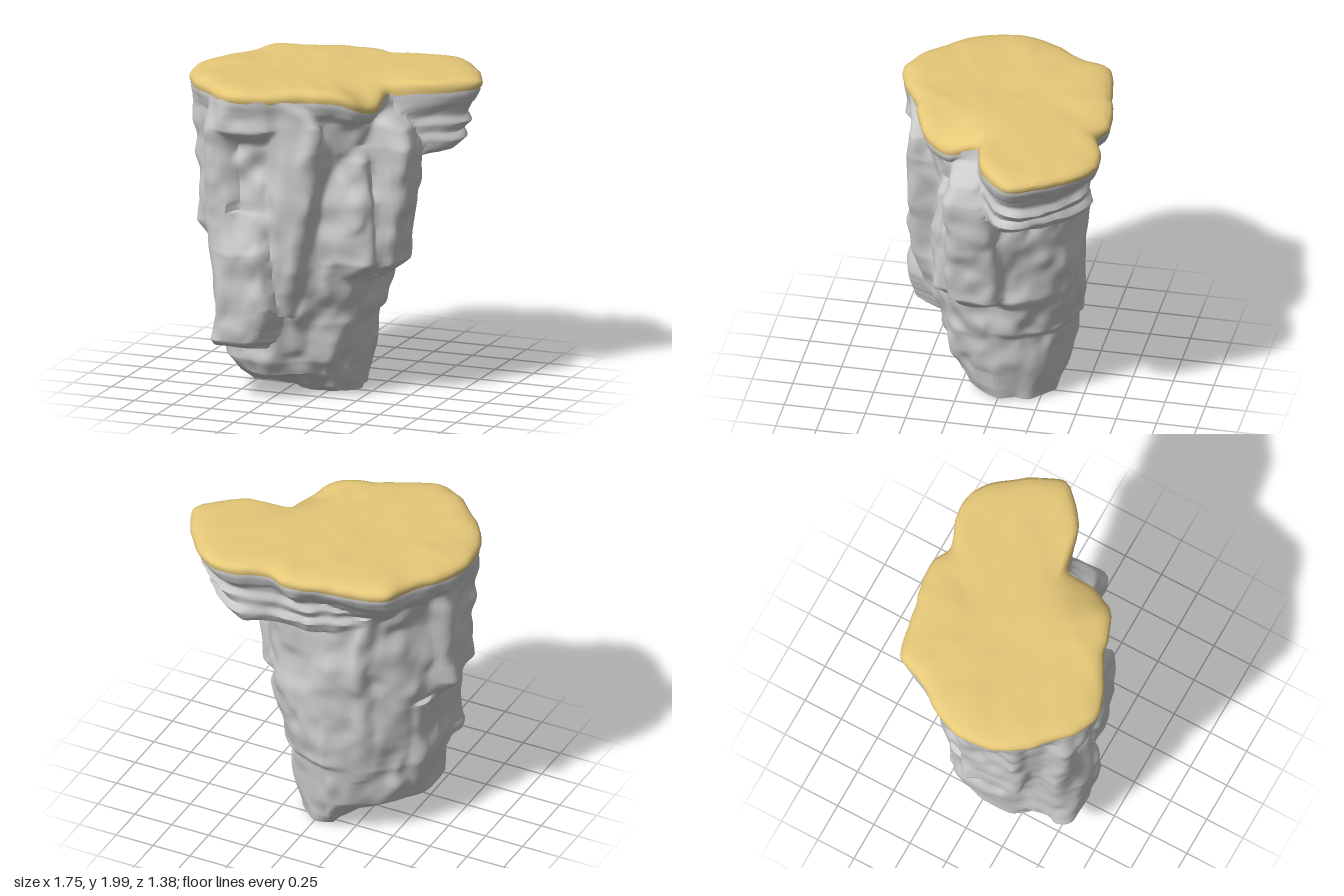
import * as THREE from 'three';
import { toCreasedNormals } from 'three/addons/utils/BufferGeometryUtils.js';

const CX = -0.12, CZ = 0.05, COLS = 180, TURN = Math.PI * 2;
const rockMat = new THREE.MeshStandardMaterial({ color: 0xcccccc, side: THREE.DoubleSide });
const topMat = new THREE.MeshStandardMaterial({ color: 0xe6c878, side: THREE.DoubleSide });
const { lerp, smoothstep, clamp } = THREE.MathUtils;

// smooth value noise in -1..1
function hash(x, y, z) {
  const s = Math.sin(x * 127.1 + y * 311.7 + z * 74.7) * 43758.5453;
  return (s - Math.floor(s)) * 2 - 1;
}
function noise(x, y, z) {
  const i = [x, y, z].map(Math.floor);
  const f = [x - i[0], y - i[1], z - i[2]].map(t => t * t * (3 - 2 * t));
  let sum = 0;
  for (let c = 0; c < 8; c++) {
    const d = [c & 1, (c >> 1) & 1, c >> 2];
    const w = d.reduce((p, on, k) => p * (on ? f[k] : 1 - f[k]), 1);
    sum += w * hash(i[0] + d[0], i[1] + d[1], i[2] + d[2]);
  }
  return sum;
}

// small knobs standing out of the rock: x, y, z, height
const knobs = [[0.25, 1.13, 0.36, 0.05], [-0.07, 0.53, 0.42, 0.05], [0.3, 1.1, -0.33, 0.03],
  [-0.38, 1.52, 0.52, 0.05], [-0.6, 1.05, -0.2, 0.04], [-0.5, 0.35, -0.2, 0.04]];

// craggy offset, a sagging front corner on top, and an uneven foot
function weather(p) {
  const amp = lerp(0.027, 0.014, smoothstep(p.y, 1.75, 1.9));
  const n = (s, o) => noise(p.x * s + o, p.y * s * 0.8 + o, p.z * s - o);
  const d = o => amp * (n(5, o) + 0.6 * n(11, o + 9));
  const q = new THREE.Vector3(p.x + d(3), p.y + 0.5 * d(17), p.z + d(31));
  for (const [x, y, z, h] of knobs) {
    const k = h * Math.exp(-((p.x - x) ** 2 + (p.y - y) ** 2 + (p.z - z) ** 2) / 0.004);
    q.x += k * (p.x - CX) * 1.5;
    q.z += k * (p.z - CZ) * 1.5;
  }
  const sag = Math.exp(-((p.x - 0.4) ** 2 + (p.z - 0.28) ** 2) / 0.035);
  q.y -= 0.09 * sag * smoothstep(p.y, 1.65, 1.9);
  const lift = Math.max(smoothstep(-p.x, 0.05, 0.3) * 0.05, smoothstep(p.z, 0.12, 0.3) * 0.09);
  q.y += lift * clamp(1 - p.y / 0.3, 0, 1);
  return q;
}

// radius of a closed outline as a function of angle
function polar(outline) {
  const curve = new THREE.CatmullRomCurve3(
    outline.map(([x, z]) => new THREE.Vector3(x - CX, 0, z - CZ)), true, 'centripetal');
  const s = curve.getPoints(400).slice(1).map(p =>
    [(Math.atan2(p.z, p.x) + TURN) % TURN, Math.hypot(p.x, p.z)]).sort((a, b) => a[0] - b[0]);
  s.push([s[0][0] + TURN, s[0][1]]);
  return t => {
    const a = t < s[0][0] ? t + TURN : t;
    const k = Math.max(1, s.findIndex(e => e[0] >= a));
    const [a0, r0] = s[k - 1], [a1, r1] = s[k];
    return lerp(r0, r1, (a - a0) / (a1 - a0 || 1));
  };
}

// values of a level table [y, ...values] at height y, or null outside it
function at(levels, y) {
  if (y < levels[0][0] || y > levels[levels.length - 1][0]) return null;
  const k = Math.max(1, levels.findIndex(l => l[0] >= y));
  const a = levels[k - 1], b = levels[k], f = (y - a[0]) / (b[0] - a[0]);
  return a.slice(1).map((v, i) => lerp(v, b[i + 1], f));
}

const topRadius = polar([[0.87, -0.2], [0.82, -0.12], [0.7, -0.02], [0.53, 0.04], [0.4, 0.09],
  [0.39, 0.26], [0.33, 0.38], [0.2, 0.47], [0.05, 0.53], [-0.12, 0.61], [-0.35, 0.69],
  [-0.5, 0.64], [-0.62, 0.53], [-0.78, 0.37], [-0.86, 0.2], [-0.87, 0.02], [-0.81, -0.16],
  [-0.68, -0.35], [-0.6, -0.53], [-0.38, -0.6], [-0.1, -0.65], [0.03, -0.67], [0.17, -0.61],
  [0.35, -0.68], [0.48, -0.69], [0.61, -0.63], [0.73, -0.5], [0.81, -0.36]]);
const ledgeRadius = polar([[0.85, -0.18], [0.6, 0.01], [0.3, 0.1], [-0.3, 0.12], [-0.55, -0.1],
  [-0.5, -0.38], [-0.1, -0.62], [0.17, -0.6], [0.45, -0.68], [0.72, -0.5]]);
const shoulderLevels = [[1.6, 0.7], [1.72, 0.83], [1.82, 0.95], [1.88, 0.985], [1.95, 0.985]];
const ledgeLevels = [[1.49, 0.72], [1.53, 0.84], [1.6, 0.91], [1.64, 0.88], [1.69, 0.93],
  [1.74, 0.9], [1.8, 0.94], [1.84, 0.93], [1.95, 0.98]];

// core: y, then twelve radii from +x round through the front
const coreLevels = [
  [0.01, 0.26, 0.24, 0.16, 0.14, 0.24, 0.32, 0.28, 0.2, 0.24, 0.36, 0.4, 0.3],
  [0.08, 0.28, 0.28, 0.26, 0.28, 0.38, 0.44, 0.38, 0.3, 0.32, 0.41, 0.41, 0.32],
  [0.2, 0.29, 0.3, 0.31, 0.32, 0.42, 0.52, 0.5, 0.43, 0.41, 0.45, 0.43, 0.35],
  [0.48, 0.39, 0.38, 0.36, 0.36, 0.45, 0.52, 0.51, 0.49, 0.48, 0.49, 0.47, 0.42],
  [0.52, 0.4, 0.38, 0.36, 0.37, 0.45, 0.52, 0.51, 0.49, 0.48, 0.52, 0.51, 0.46],
  [0.74, 0.43, 0.41, 0.38, 0.42, 0.5, 0.55, 0.53, 0.5, 0.49, 0.53, 0.53, 0.49],
  [0.82, 0.53, 0.46, 0.38, 0.43, 0.54, 0.57, 0.54, 0.5, 0.49, 0.53, 0.54, 0.52],
  [1.5, 0.58, 0.47, 0.4, 0.45, 0.57, 0.64, 0.6, 0.53, 0.51, 0.53, 0.57, 0.57],
  [1.95, 0.52, 0.53, 0.5, 0.52, 0.6, 0.68, 0.66, 0.6, 0.56, 0.55, 0.6, 0.6]];

// upright slabs welded onto the core: [y, x0, x1, z0, z1] at each level
const slabs = {
  frontLeft: [[0.42, -0.58, -0.4, 0.2, 0.54], [0.6, -0.59, -0.38, 0.2, 0.58], [1.2, -0.6, -0.41, 0.2, 0.61],
    [1.7, -0.6, -0.41, 0.2, 0.62], [1.95, -0.56, -0.35, 0.2, 0.61]],
  frontRight: [[0.54, -0.25, -0.1, 0.2, 0.5], [0.7, -0.24, -0.05, 0.2, 0.55], [0.85, -0.22, 0.01, 0.2, 0.57],
    [1.3, -0.21, 0.07, 0.2, 0.59], [1.6, -0.22, 0.12, 0.2, 0.59], [1.75, -0.25, 0.1, 0.2, 0.6],
    [1.85, -0.3, 0.02, 0.2, 0.6], [1.95, -0.4, -0.1, 0.2, 0.6]],
  frontRecess: [[0.8, -0.5, -0.15, 0.1, 0.54], [1.95, -0.5, -0.15, 0.1, 0.54]],
  frontBrow: [[1.62, -0.48, -0.19, 0.2, 0.55], [1.72, -0.52, -0.15, 0.2, 0.65], [1.95, -0.5, -0.18, 0.2, 0.66]],
  frontApron: [[0.33, -0.56, -0.27, 0.2, 0.56], [0.38, -0.57, -0.24, 0.2, 0.62], [0.6, -0.56, -0.16, 0.2, 0.64],
    [0.95, -0.54, -0.2, 0.2, 0.64], [1.2, -0.5, -0.22, 0.2, 0.55]],
  left: [[0.77, 0.1, 0.4, -0.05, 0.2], [0.86, 0.1, 0.51, -0.07, 0.25], [1.2, 0.1, 0.55, -0.07, 0.27],
    [1.6, 0.1, 0.58, -0.05, 0.26], [1.71, 0.1, 0.55, -0.03, 0.23], [1.86, 0.1, 0.38, -0.02, 0.2]],
  leftFront: [[0.78, 0, 0.3, 0, 0.31], [0.88, 0, 0.39, 0, 0.37], [1.3, 0, 0.37, 0, 0.37],
    [1.52, 0, 0.36, 0, 0.36], [1.6, 0, 0.33, 0, 0.32]],
  right: [[0.88, -0.64, -0.3, 0, 0.33], [1.06, -0.78, -0.3, -0.04, 0.36], [1.18, -0.75, -0.3, -0.06, 0.37],
    [1.7, -0.77, -0.3, -0.1, 0.38], [1.95, -0.8, -0.3, -0.1, 0.38]],
  rightLower: [[0.22, -0.59, -0.3, -0.1, 0.26], [0.5, -0.63, -0.3, -0.15, 0.31], [0.95, -0.66, -0.3, -0.16, 0.33]],
  backRight: [[0.4, -0.36, -0.1, -0.37, 0], [0.9, -0.41, -0.1, -0.43, 0], [1.65, -0.43, -0.1, -0.45, 0]],
};

// outermost radius of all parts at height y, for every angle
function sliceRadii(y) {
  const core = at(coreLevels, y);
  const boxes = Object.values(slabs).map(l => at(l, y)).filter(Boolean);
  const [shoulder] = at(shoulderLevels, y) || [0], [ledge] = at(ledgeLevels, y) || [0];
  return Array.from({ length: COLS }, (_, i) => {
    const t = i / COLS * TURN, c = Math.cos(t), s = Math.sin(t);
    const u = i / COLS * 12, k = Math.floor(u);
    const own = Math.max(lerp(core[k], core[(k + 1) % 12], smoothstep(u - k, 0, 1)),
      shoulder * topRadius(t), ledge * ledgeRadius(t));
    const dist = r => boxes.reduce((d, [x0, x1, z0, z1]) => {
      const x = CX + r * c, z = CZ + r * s, w = (x1 - x0) / 2, l = (z1 - z0) / 2;
      const round = Math.min(0.08, w, l);
      const dx = Math.abs(x - (x0 + x1) / 2) - w + round;
      const dz = Math.abs(z - (z0 + z1) / 2) - l + round;
      const e = Math.hypot(Math.max(dx, 0), Math.max(dz, 0)) + Math.min(Math.max(dx, dz), 0) - round;
      const h = Math.max(0.03 - Math.abs(d - e), 0) / 0.03;
      return Math.min(d, e) - h * h * 0.0075;
    }, r - own);
    const step = 0.008;
    let r = 1.05, d = dist(r), last = d;
    while (r > 0.05 && d > 0) {
      last = d;
      r -= step;
      d = dist(r);
    }
    return r + step * d / (d - last);
  });
}

// skin through rows of [y, radii], bottom to top, closed at the chosen end
function skin(name, rows, closeTop, mat) {
  const pos = [], idx = [], top = rows.length - 1;
  const put = (x, y, z) => pos.push(...weather(new THREE.Vector3(x, y, z)).toArray());
  rows.forEach(([y, radii]) => radii.forEach((r, i) => {
    const t = i / COLS * TURN;
    put(CX + r * Math.cos(t), y, CZ + r * Math.sin(t));
  }));
  put(CX, rows[closeTop ? top : 0][0], CZ);
  const mid = rows.length * COLS;
  for (let i = 0; i < COLS; i++) {
    const k = (i + 1) % COLS;
    for (let j = 0; j < top; j++) {
      const a = j * COLS + i, b = a + COLS, c = j * COLS + k;
      idx.push(a, b, c, b, c + COLS, c);
    }
    if (closeTop) idx.push(mid, top * COLS + k, top * COLS + i);
    else idx.push(mid, i, k);
  }
  const g = new THREE.BufferGeometry();
  g.setAttribute('position', new THREE.Float32BufferAttribute(pos, 3));
  g.setIndex(idx);
  const mesh = new THREE.Mesh(toCreasedNormals(g, 0.8), mat);
  mesh.name = name;
  return mesh;
}

export function createModel() {
  const model = new THREE.Group();
  model.name = 'rockColumn';

  // rock from foot to rim
  const heights = Array.from({ length: 141 }, (_, j) => 0.012 + j / 140 * 1.913);
  const base = sliceRadii(heights[0]);
  const foot = [0.4, 0.75].map(s => [0.005, base.map(r => r * s)]);
  model.add(skin('rock', [...foot, ...heights.map(y => [y, sliceRadii(y)])], false, rockMat));

  // ground on top, turned down over the rim
  const rim = Array.from({ length: COLS }, (_, i) => topRadius(i / COLS * TURN));
  const profile = [[1.905, 0.99], [1.925, 1], [1.945, 0.995], [1.962, 0.97], [1.973, 0.92]];
  for (let s = 0.85; s > 0.05; s -= 0.08) profile.push([1.98, s]);
  model.add(skin('topGround', profile.map(([y, s]) => [y, rim.map(r => r * s)]), true, topMat));
  return model;
}
